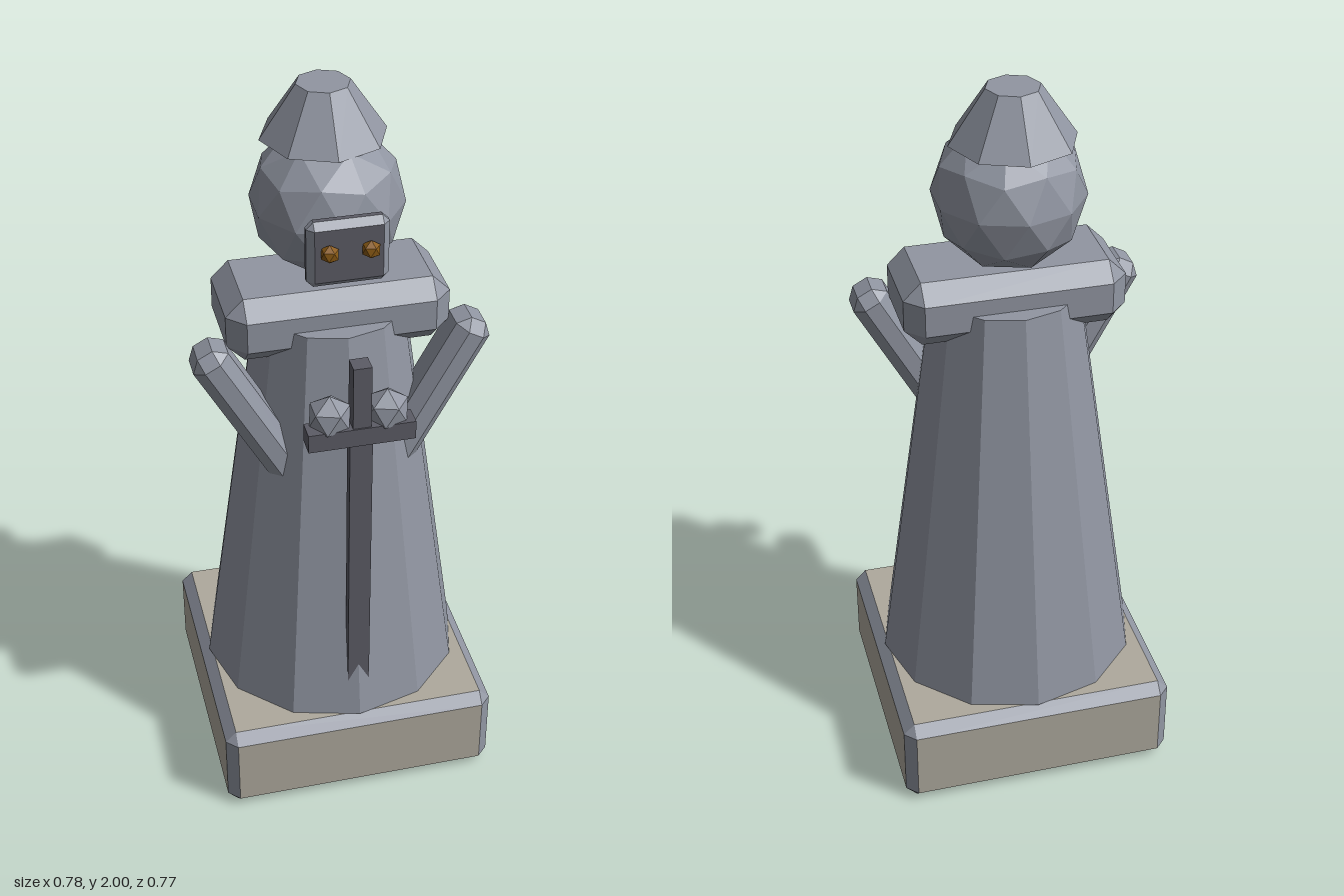
import * as THREE from 'three';

const flat = (name, color) => {
  const m = new THREE.MeshStandardMaterial({ color, flatShading: true });
  m.name = name;
  return m;
};

// Box with chamfered edges: group 0 holds the six main faces, group 1 the bevels.
function chamferBox(w, h, d, c) {
  const half = [w / 2, h / 2, d / 2];
  const faces = [], bevels = [];
  // Corner point lying on the main face of the given axis
  const point = (axis, s) => new THREE.Vector3(...half.map((v, i) => s[i] * (i === axis ? v : v - c)));
  const tri = (list, a, b, e) => {
    const n = b.clone().sub(a).cross(e.clone().sub(a));
    const mid = a.clone().add(b).add(e);
    const order = n.dot(mid) < 0 ? [a, e, b] : [a, b, e];
    order.forEach((p) => list.push(p.x, p.y, p.z));
  };
  const quad = (list, a, b, e, f) => { tri(list, a, b, e); tri(list, a, e, f); };
  const signs = (axis, sa, sb, sc) => {
    const s = [];
    s[axis] = sa; s[(axis + 1) % 3] = sb; s[(axis + 2) % 3] = sc;
    return s;
  };
  for (let k = 0; k < 3; k++) {
    const j = (k + 1) % 3, l = (k + 2) % 3;
    for (const s of [-1, 1]) {
      quad(faces, ...[[-1, -1], [1, -1], [1, 1], [-1, 1]].map(([p, q]) => point(k, signs(k, s, p, q))));
      for (const t of [-1, 1]) {
        const lo = signs(k, -1, s, t), hi = signs(k, 1, s, t);
        quad(bevels, point(j, lo), point(j, hi), point(l, hi), point(l, lo));
        if (k === 0) for (const q of [lo, hi]) tri(bevels, point(0, q), point(1, q), point(2, q));
      }
    }
  }
  const g = new THREE.BufferGeometry();
  g.setAttribute('position', new THREE.Float32BufferAttribute([...faces, ...bevels], 3));
  g.addGroup(0, faces.length / 3, 0);
  g.addGroup(faces.length / 3, bevels.length / 3, 1);
  g.computeVertexNormals();
  return g;
}

// Faceted ball with one vertex pointing straight up
function ball(radius, detail) {
  return new THREE.IcosahedronGeometry(radius, detail).rotateZ(-Math.atan(2 / (1 + Math.sqrt(5))));
}

export function createModel() {
  const model = new THREE.Group();
  model.name = 'statue';
  const stone = flat('greyStone', 0x9196a2);
  const plinthStone = flat('paleStone', 0xaea99d);
  const iron = flat('darkIron', 0x5c5c66);
  const amber = flat('amber', 0x8a5a14);

  const add = (name, geometry, material, x, y, z) => {
    const mesh = new THREE.Mesh(geometry, material);
    mesh.name = name;
    mesh.position.set(x, y, z);
    model.add(mesh);
    return mesh;
  };

  // Plinth and robed body
  add('plinth', chamferBox(0.77, 0.265, 0.77, 0.03), [plinthStone, stone], 0, 0.1325, 0);
  add('robe', new THREE.CylinderGeometry(0.2, 0.365, 1.155, 12), stone, 0, 0.8425, 0);
  add('shoulders', chamferBox(0.59, 0.18, 0.295, 0.047), [stone, stone], 0, 1.42, -0.002);

  // Head, hood and face
  add('head', ball(0.2, 1), stone, 0, 1.7, -0.03);
  add('hood', new THREE.CylinderGeometry(0.07, 0.165, 0.14, 8), stone, 0, 1.93, -0.07);
  add('facePlate', chamferBox(0.21, 0.18, 0.05, 0.018), [iron, stone], 0, 1.667, 0.18);

  // Mirrored pairs
  for (const [side, s] of [['left', 1], ['right', -1]]) {
    add(side + 'Eye', ball(0.025, 0), amber, s * 0.052, 1.68, 0.215);
    add(side + 'Arm', chamferBox(0.104, 0.55, 0.128, 0.03), [stone, stone], s * 0.228, 1.152, 0.119)
      .rotation.z = -s * 0.5;
    add(side + 'Hand', ball(0.06, 0), stone, s * 0.075, 1.267, 0.307);
  }

  // Sword held point down, its tip sunk into the robe
  add('blade', new THREE.BoxGeometry(0.06, 0.9, 0.03), iron, 0, 0.77, 0.326);
  add('crossguard', new THREE.BoxGeometry(0.28, 0.052, 0.056), iron, 0, 1.22, 0.324);
  add('grip', new THREE.BoxGeometry(0.048, 0.2, 0.048), iron, 0, 1.325, 0.324);

  return model;
}
